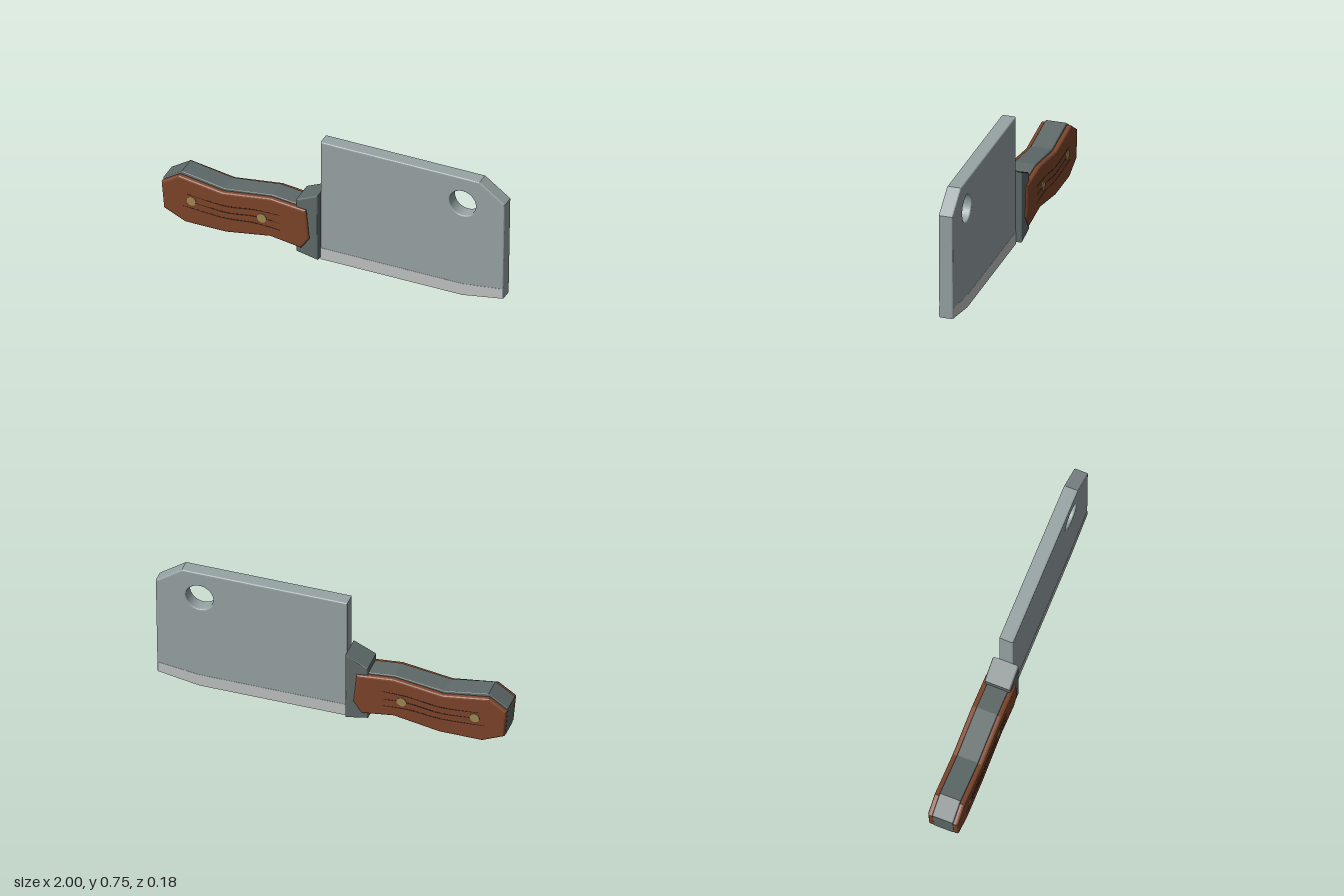
import * as THREE from 'three';

const mat = (name, color, extra = {}) => {
  const m = new THREE.MeshStandardMaterial({ color, ...extra });
  m.name = name;
  return m;
};

const outline = (points) => new THREE.Shape(points.map(([x, y]) => new THREE.Vector2(x, y)));

// Plate between two depths, with rounded edges kept inside the outline
function plate(shape, z0, z1, bevel) {
  const geometry = new THREE.ExtrudeGeometry(shape, {
    depth: z1 - z0 - 2 * bevel,
    bevelEnabled: bevel > 0,
    bevelThickness: bevel,
    bevelSize: bevel,
    bevelOffset: -bevel,
    bevelSegments: 3,
    curveSegments: 24,
  });
  return geometry.translate(0, 0, z0 + bevel);
}

export function createModel() {
  const steel = mat('blade steel', 0x98a4a5);
  const edgeSteel = mat('sharpened steel', 0xc0c3c2);
  const darkSteel = mat('dark steel', 0x5f6a69);
  const wood = mat('wood', 0x7d452a);
  const brass = mat('brass', 0xa08a55);
  const grainDark = mat('wood grain', 0x40231a, { side: THREE.DoubleSide });

  const model = new THREE.Group();
  model.name = 'cleaver';
  const add = (name, geometry, material, parent = model) => {
    const mesh = new THREE.Mesh(geometry, material);
    mesh.name = name;
    parent.add(mesh);
    return mesh;
  };

  // Blade with a clipped upper corner and hanging hole
  const bladeShape = outline([
    [-0.085, 0], [0.75, 0], [0.988, 0.04], [0.998, 0.648], [0.85, 0.755], [-0.085, 0.755],
  ]);
  const hole = new THREE.Path();
  hole.absarc(0.75, 0.592, 0.077, 0, Math.PI * 2, true);
  bladeShape.holes.push(hole);
  add('blade', plate(bladeShape, -0.04, 0.04, 0.008), steel);

  // Guard between blade and handle
  const guardShape = outline([[-0.212, 0.038], [-0.085, 0.013], [-0.085, 0.43], [-0.212, 0.372]]);
  add('guard', plate(guardShape, -0.075, 0.075, 0.01), darkSteel);

  // Metal tang running through the handle
  const tangShape = outline([
    [-1, 0.285], [-0.985, 0.105], [-0.86, 0.048], [-0.62, 0.048], [-0.36, 0.093], [-0.17, 0.07],
    [-0.17, 0.332], [-0.36, 0.352], [-0.64, 0.315], [-0.89, 0.357],
  ]);
  add('tang', plate(tangShape, -0.06, 0.06, 0.006), darkSteel);

  const edgeShape = outline([
    [-0.083, 0.003], [0.75, 0.003], [0.982, 0.043], [0.982, 0.104], [0.75, 0.075], [-0.083, 0.075],
  ]);
  const scaleShape = outline([
    [-1, 0.275], [-0.985, 0.11], [-0.86, 0.053], [-0.62, 0.053], [-0.36, 0.098], [-0.18, 0.072],
    [-0.132, 0.14], [-0.15, 0.322], [-0.36, 0.343], [-0.64, 0.303], [-0.9, 0.342],
  ]);
  const grainLines = [
    [[-0.85, 0.238], [-0.63, 0.222], [-0.45, 0.246], [-0.3, 0.25]],
    [[-0.85, 0.2], [-0.63, 0.182], [-0.45, 0.204], [-0.3, 0.2]],
    [[-0.87, 0.157], [-0.63, 0.145], [-0.45, 0.162], [-0.3, 0.155]],
  ];

  // Fittings repeated on both faces
  for (const side of [1, -1]) {
    const face = new THREE.Group();
    face.name = side > 0 ? 'frontFittings' : 'backFittings';
    model.add(face);
    const span = (a, b) => (side > 0 ? [a, b] : [-b, -a]);

    add('cuttingEdge', plate(edgeShape, ...span(0.038, 0.0412), 0), edgeSteel, face);
    add('handleScale', plate(scaleShape, ...span(0.052, 0.087), 0.013), wood, face);

    // Rivets
    for (const [x, y] of [[-0.82, 0.2], [-0.407, 0.206]]) {
      const rivet = add('rivet', new THREE.CylinderGeometry(0.027, 0.027, 0.008, 16), brass, face);
      rivet.rotation.x = Math.PI / 2;
      rivet.position.set(x, y, side * 0.0865);
    }

    // Thin wavy grain strips
    for (const line of grainLines) {
      const points = new THREE.SplineCurve(line.map(([x, y]) => new THREE.Vector2(x, y))).getPoints(16);
      const last = points.length - 1;
      const half = (i) => 0.0008 + 0.0028 * Math.sin((Math.PI * i) / last);
      const lower = points.map((p, i) => [p.x, p.y - half(i)]);
      const upper = points.map((p, i) => [p.x, p.y + half(i)]).reverse();
      add('grainLine', plate(outline([...lower, ...upper]), ...span(0.0865, 0.0878), 0), grainDark, face);
    }
  }
  return model;
}
